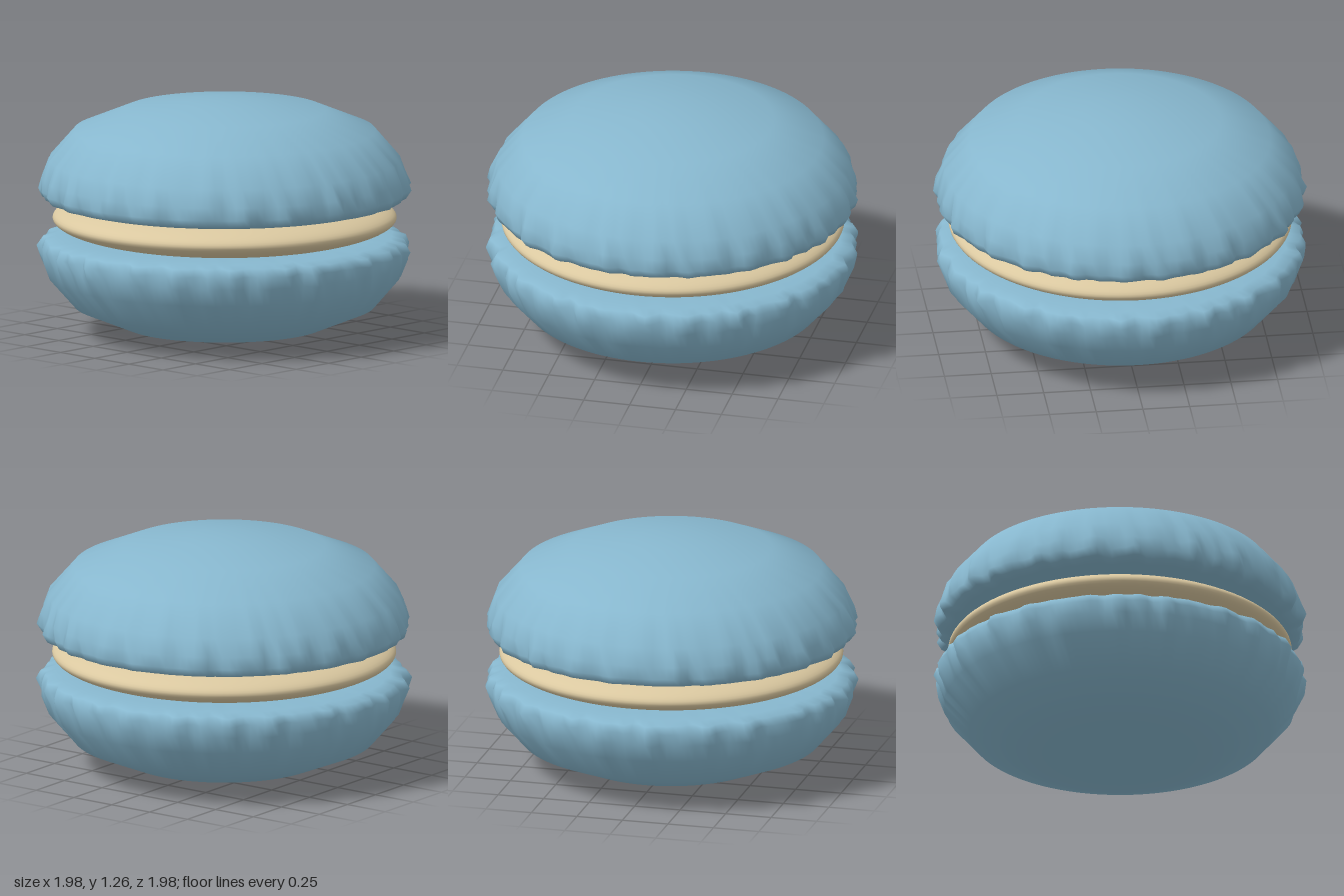
import * as THREE from 'three';
import { mergeVertices } from 'three/addons/utils/BufferGeometryUtils.js';

const shellMaterial = new THREE.MeshStandardMaterial({ color: 0x87b7ce });
shellMaterial.name = 'blue shell';
const creamMaterial = new THREE.MeshStandardMaterial({ color: 0xdac8a0 });
creamMaterial.name = 'cream filling';

const MIDDLE = 0.63; // height of the filling's centre plane

// Radius, height above the middle plane, ruffle strength
const SHELL = [
  [0, 0.09, 0], [0.6, 0.09, 0], [0.8, 0.092, 0.2], [0.89, 0.097, 0.5], [0.952, 0.112, 0.9],
  [0.974, 0.155, 1], [0.962, 0.22, 0.75], [0.932, 0.315, 0.2], [0.8, 0.47, 0],
  [0.535, 0.58, 0], [0.195, 0.622, 0], [0, 0.63, 0],
];

// Irregular ripple around the rim, within -1 to 1, drifting with height
function ripple(angle, height) {
  return 0.4 * Math.sin(37 * angle + 9 * height + 1.5 * Math.sin(5 * angle))
    + 0.35 * Math.sin(23 * angle - 14 * height + 1.2)
    + 0.25 * Math.sin(53 * angle + 18 * height + 2 * Math.sin(3 * angle));
}

function makeShellGeometry() {
  const lathe = new THREE.LatheGeometry(SHELL.map(([r, y]) => new THREE.Vector2(r, y)), 160);
  const pos = lathe.attributes.position;
  for (let i = 0; i < pos.count; i++) {
    const [radius, height, strength] = SHELL[i % SHELL.length];
    if (!strength) continue;
    const angle = Math.atan2(pos.getX(i), pos.getZ(i));
    const wave = ripple(angle, height) * strength;
    const r = radius + 0.028 * wave;
    pos.setXYZ(i, r * Math.sin(angle), height + 0.006 * wave, r * Math.cos(angle));
  }
  // Weld the seam so shading is smooth all round
  lathe.deleteAttribute('normal');
  lathe.deleteAttribute('uv');
  const geometry = mergeVertices(lathe, 1e-4);
  geometry.computeVertexNormals();
  return geometry;
}

export function createModel() {
  const model = new THREE.Group();
  model.name = 'macaron';

  // Two matching domed biscuits, the lower one turned over
  const shell = makeShellGeometry();
  for (const [name, turn] of [['upperShell', 0], ['lowerShell', Math.PI]]) {
    const mesh = new THREE.Mesh(shell, shellMaterial);
    mesh.name = name;
    mesh.position.y = MIDDLE;
    mesh.rotation.x = turn;
    model.add(mesh);
  }

  // Flattened round filling between them
  const filling = new THREE.Mesh(new THREE.SphereGeometry(1, 96, 40), creamMaterial);
  filling.name = 'filling';
  filling.scale.set(0.913, 0.147, 0.913);
  filling.position.y = MIDDLE;
  model.add(filling);

  return model;
}
